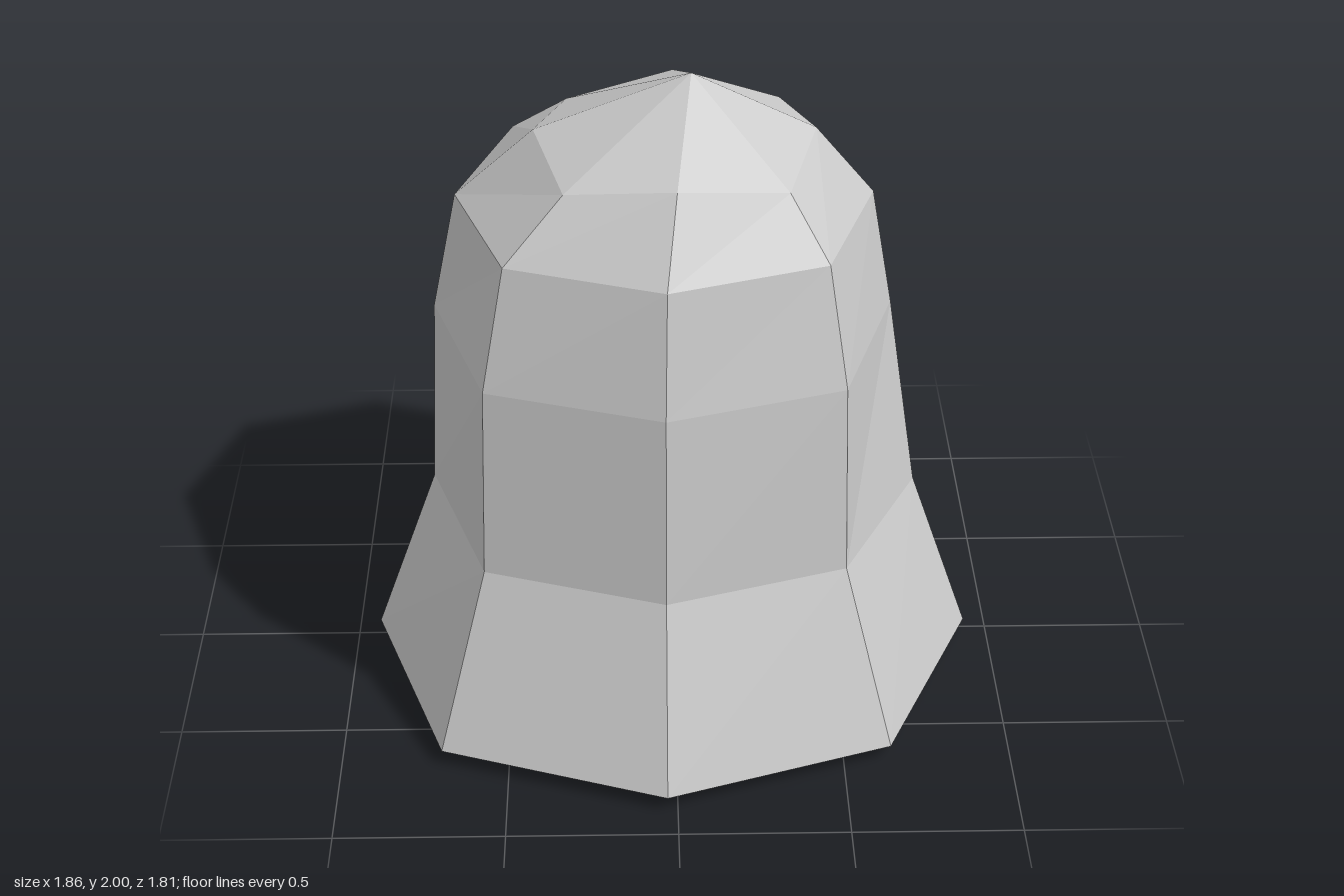
import * as THREE from 'three';

const SIDES = 8;
const RIGHT = 0, BACK = 6, CORNER = 7;

// Octagonal tiers: r is the reach of the straight points, d the offset of the diagonal ones.
const TIERS = [
  { cx: -0.03, cz: 0, y: 0.05, r: 0.90, d: 0.67,
    pulled: { [RIGHT]: [0.93, 0.03, 0], [BACK]: [0.02, 0.03, -0.91], [CORNER]: [0.81, 0.03, -0.39] } },
  { cx: -0.03, cz: 0, y: 0.60, r: 0.705, d: 0.53,
    pulled: { [RIGHT]: [0.745, 0.57, 0], [BACK]: [0.03, 0.57, -0.71], [CORNER]: [0.71, 0.51, -0.53] } },
  { cx: -0.03, cz: 0, y: 1.20, r: 0.68, d: 0.515 },
  { cx: -0.025, cz: 0.005, y: 1.57, r: 0.61, d: 0.455 },
  { cx: 0.005, cz: 0.055, y: 1.80, r: 0.405, d: 0.315, diagonalDrop: 0.05 },
];
const APEX = [0.05, 2, 0.115];
const BASE_CENTRE = [0.1, 0, 0];

// Points run from +x towards +z.
function tierPoints({ cx, cz, y, r, d, diagonalDrop = 0, pulled = {} }) {
  return Array.from({ length: SIDES }, (_, i) => {
    if (pulled[i]) return pulled[i];
    const a = (i / SIDES) * Math.PI * 2;
    const diagonal = i % 2 === 1;
    const reach = diagonal ? d * Math.SQRT2 : r;
    return [cx + Math.cos(a) * reach, y - (diagonal ? diagonalDrop : 0), cz + Math.sin(a) * reach];
  });
}

function buildShell() {
  const rings = TIERS.map(tierPoints);
  const points = [...rings.flat(), APEX, BASE_CENTRE];
  const apex = points.length - 2, base = points.length - 1;
  const top = (rings.length - 1) * SIDES;
  const faces = [];
  for (let i = 0; i < SIDES; i++) {
    const next = (i + 1) % SIDES;
    // Walls between tiers
    for (let row = 0; row < top; row += SIDES) {
      const a = row + i, b = row + next, c = a + SIDES, d = b + SIDES;
      faces.push(a, c, b, b, c, d);
    }
    // Pointed cap and shallow underside
    faces.push(top + i, apex, top + next);
    faces.push(i, next, base);
  }
  const geometry = new THREE.BufferGeometry();
  geometry.setAttribute('position', new THREE.Float32BufferAttribute(points.flat(), 3));
  geometry.setIndex(faces);
  const faceted = geometry.toNonIndexed();
  faceted.computeVertexNormals();
  return faceted;
}

export function createModel() {
  const model = new THREE.Group();
  model.name = 'facetedBell';
  const material = new THREE.MeshStandardMaterial({ color: 0xcccccc, flatShading: true });
  const shell = new THREE.Mesh(buildShell(), material);
  shell.name = 'bellBody';
  model.add(shell);
  return model;
}
